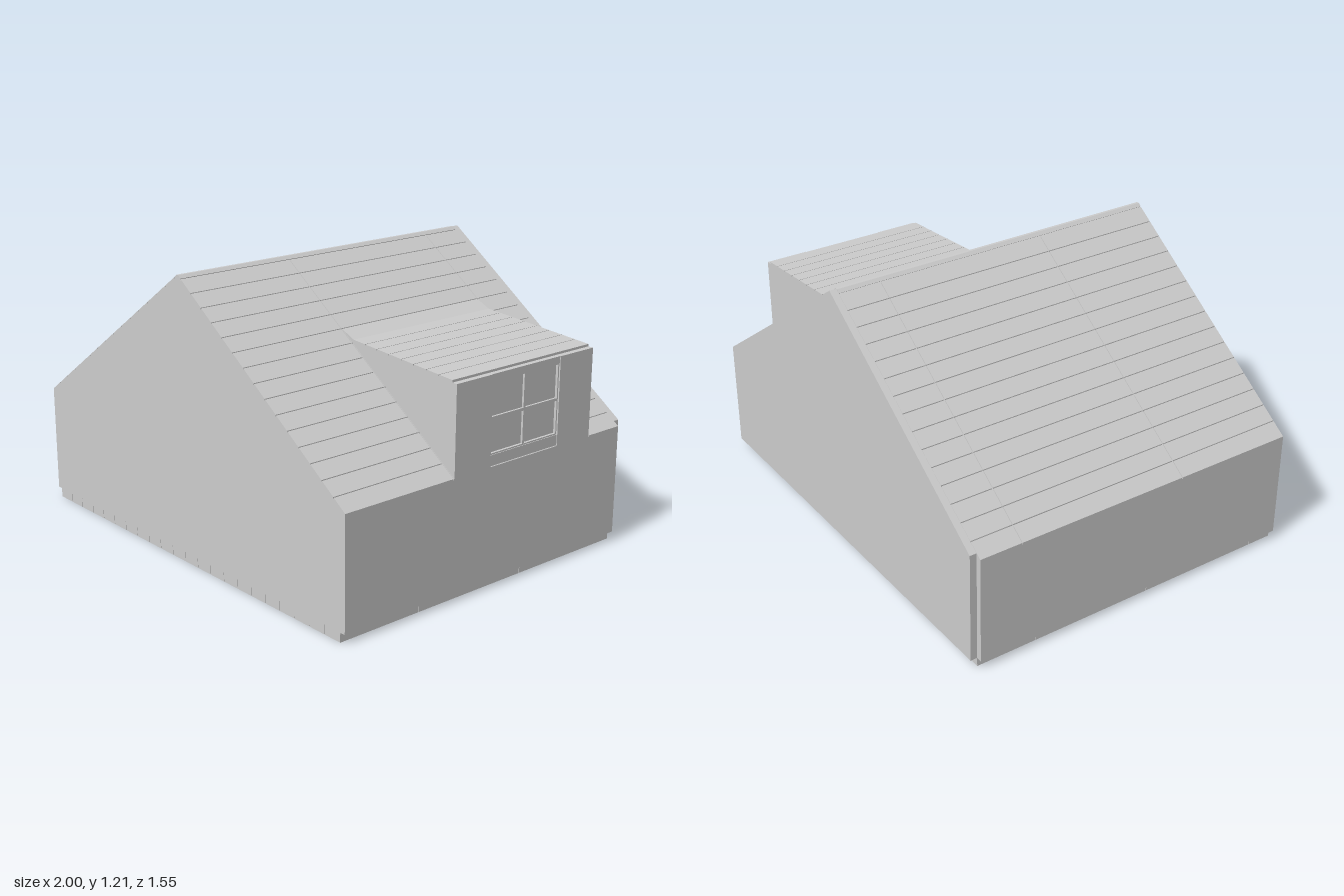
import * as THREE from 'three';

export function createModel() {
  const house = new THREE.Group();
  house.name = 'house';
  const grey = new THREE.MeshStandardMaterial({ color: 0xcccccc });
  grey.name = 'plain grey';

  const group = (name) => {
    const g = new THREE.Group();
    g.name = name;
    house.add(g);
    return g;
  };
  // Box given by its limits on each axis
  const box = (parent, name, x0, x1, y0, y1, z0, z1) => {
    const m = new THREE.Mesh(new THREE.BoxGeometry(x1 - x0, y1 - y0, z1 - z0), grey);
    m.position.set((x0 + x1) / 2, (y0 + y1) / 2, (z0 + z1) / 2);
    m.name = name;
    parent.add(m);
  };
  // Outline in x and y, extended from z0 to z1
  const prism = (parent, name, points, z0, z1) => {
    const shape = new THREE.Shape(points.map(([x, y]) => new THREE.Vector2(x, y)));
    const geo = new THREE.ExtrudeGeometry(shape, { depth: z1 - z0, bevelEnabled: false });
    const m = new THREE.Mesh(geo, grey);
    m.position.z = z0;
    m.name = name;
    parent.add(m);
  };

  const FRONT = 0.77, BACK = -0.745, RIDGE = 1.215, GAP = 0.003, SKIN = 0.006;
  const roofY = (x) => RIDGE - 0.7 * Math.abs(x);

  // Floor of staggered boards below a thin deck
  const floor = group('floor');
  box(floor, 'floorDeck', -0.972, 0.972, 0.004, 0.045, BACK + 0.002, FRONT - 0.002);
  const rows = 22, boardW = 1.95 / rows;
  for (let i = 0; i < rows; i++) {
    const x = -0.975 + i * boardW;
    const joints = i % 2 ? [BACK, -0.19, 0.375, FRONT] : [BACK, -0.47, 0.09, 0.655, FRONT];
    for (let j = 0; j < joints.length - 1; j++) {
      const last = j === joints.length - 2;
      box(floor, 'floorBoard', x, x + boardW - (i < rows - 1 ? GAP : 0), 0, 0.04,
        joints[j], joints[j + 1] - (last ? 0 : GAP));
    }
  }

  // Gabled body, long side walls and the slab behind
  const walls = group('walls');
  const gable = (d) => [[-0.975, 0.04], [0.975, 0.04], [0.975, roofY(0.975) - d],
    [0, RIDGE - d], [-0.975, roofY(0.975) - d]];
  prism(walls, 'gableBody', gable(SKIN), BACK, FRONT);
  prism(walls, 'backWall', gable(0.002), -0.775, BACK);
  for (const s of [-1, 1]) {
    prism(walls, 'sideWall', [[s * 0.975, 0.04], [s, 0.04], [s, roofY(1) - SKIN],
      [s * 0.975, roofY(0.975) - SKIN]], BACK, FRONT);
  }

  // Roof boards, split at the rafters
  const roof = group('roof');
  const spans = [[BACK, -0.558], [-0.555, 0.222], [0.225, FRONT]];
  const courses = 15, ridgeHalf = 0.02;
  const step = (1 - ridgeHalf) / courses;
  for (const s of [-1, 1]) {
    for (let i = 0; i < courses; i++) {
      const a = ridgeHalf + i * step + GAP;
      const b = ridgeHalf + (i + 1) * step;
      for (const [z0, z1] of spans) {
        prism(roof, 'roofBoard', [[s * a, roofY(a)], [s * b, roofY(b)],
          [s * b, roofY(b) - 0.012], [s * a, roofY(a) - 0.012]], z0, z1);
      }
    }
  }
  prism(roof, 'ridgeCap', [[-ridgeHalf, roofY(ridgeHalf)], [-0.006, RIDGE - 0.002],
    [0.006, RIDGE - 0.002], [ridgeHalf, roofY(ridgeHalf)], [0, RIDGE - 0.03]], BACK, FRONT);

  // Dormer cheeks and core
  const dormer = group('dormer');
  const D0 = -0.555, D1 = 0.22;
  const dormerY = (x) => (x < 0.42 ? 0.97 - (x - 0.35) * 0.43 : 0.94 - (x - 0.42) * 0.072);
  prism(dormer, 'dormerCore', [[0.35, 0.955], [0.42, 0.94 - SKIN], [0.975, dormerY(0.975) - SKIN],
    [0.975, 0.5], [0.9, 0.5]], D0, D1);

  // Dormer roof boards
  const edges = [0.35, 0.42];
  for (let i = 1; i <= 8; i++) edges.push(0.42 + (0.555 * i) / 8);
  for (let i = 0; i < edges.length - 1; i++) {
    const a = edges[i], b = edges[i + 1] - (i > 0 && i < edges.length - 2 ? GAP : 0);
    const yb = i === 0 ? 0.94 : dormerY(b);
    prism(dormer, 'dormerRoofBoard', [[a, dormerY(a)], [b, yb], [b, yb - 0.012],
      [a, dormerY(a) - 0.012]], D0, D1);
  }

  // Dormer front wall around the window opening
  const W0 = -0.36, W1 = 0.025, top = 0.89, base = 0.51;
  box(dormer, 'dormerFrontBack', 0.975, 1, base, top, D0, W0);
  box(dormer, 'dormerFrontFore', 0.975, 1, base, top, W1, D1);
  box(dormer, 'windowApron', 0.975, 0.997, base, 0.562, W0, W1);
  box(dormer, 'windowHeader', 0.975, 0.997, 0.862, top, W0, W1);

  // Window frame, cross bars and recessed panes
  const win = group('window');
  const midZ = (W0 + W1) / 2, midY = 0.71, t = 0.006;
  box(win, 'panes', 0.975, 0.983, 0.562, 0.862, W0, W1);
  box(win, 'verticalBar', 0.98, 0.992, 0.562, 0.862, midZ - t, midZ + t);
  box(win, 'horizontalBar', 0.98, 0.992, midY - t, midY + t, W0, W1);
  for (const [z0, z1] of [[W0, W0 + t], [W1 - t, W1]]) {
    box(win, 'frameSide', 0.98, 0.994, 0.562, 0.862, z0, z1);
  }
  for (const [y0, y1] of [[0.562, 0.568], [0.856, 0.862]]) {
    box(win, 'frameRail', 0.98, 0.994, y0, y1, W0, W1);
  }

  return house;
}
